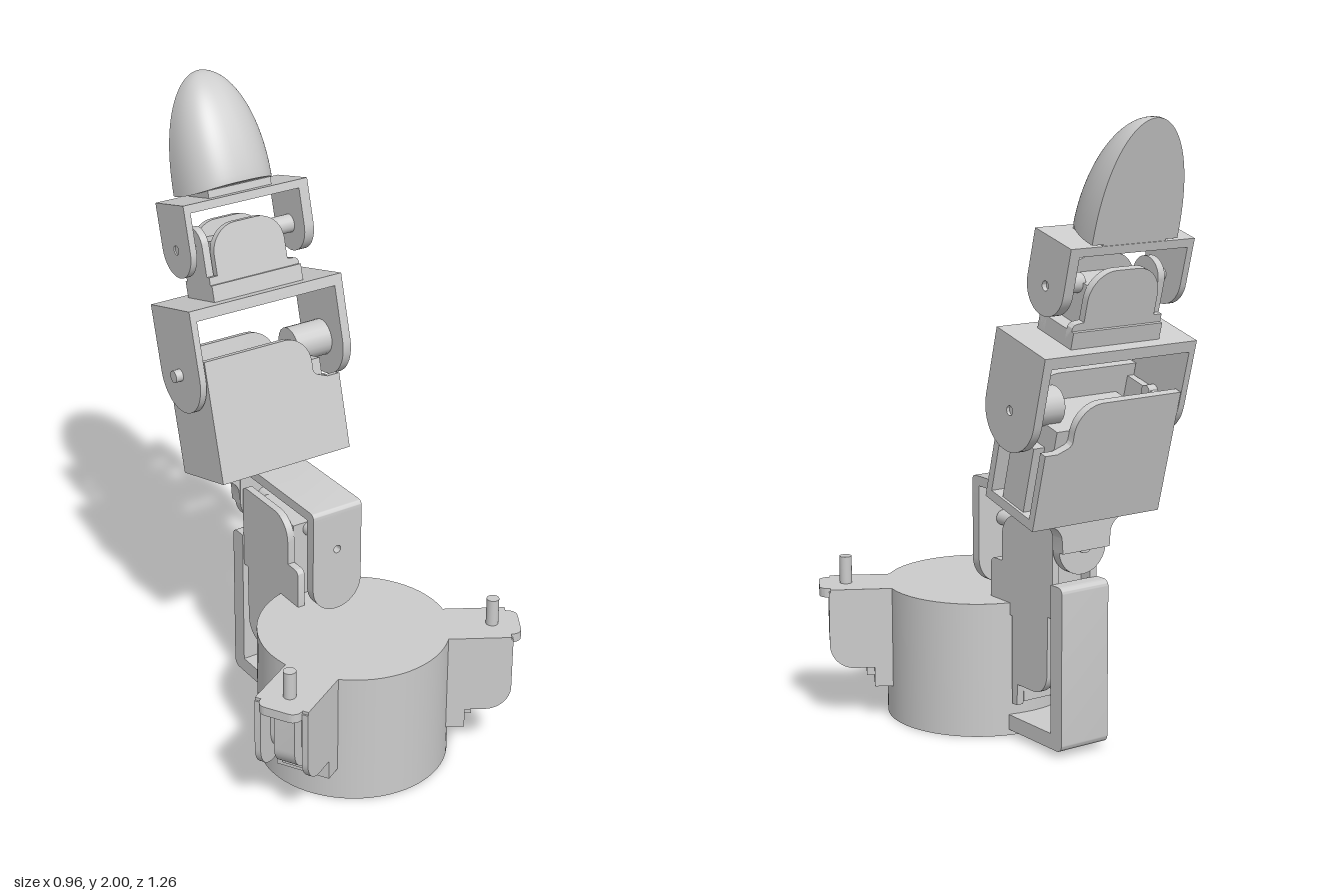
import * as THREE from 'three';
import { toCreasedNormals } from 'three/addons/utils/BufferGeometryUtils.js';
import { ParametricGeometry } from 'three/addons/geometries/ParametricGeometry.js';

const grey = new THREE.MeshStandardMaterial({ color: 0xcccccc, side: THREE.DoubleSide });

function add(parent, name, geometry) {
  const mesh = new THREE.Mesh(geometry, grey);
  mesh.name = name;
  parent.add(mesh);
  return mesh;
}

// Box given by its limits
function box(parent, name, x0, x1, y0, y1, z0, z1) {
  const g = new THREE.BoxGeometry(x1 - x0, y1 - y0, z1 - z0);
  return add(parent, name, g.translate((x0 + x1) / 2, (y0 + y1) / 2, (z0 + z1) / 2));
}

// Outline from [x, y, cornerRadius] points, with optional round holes [x, y, radius]
function outline(points, holes = []) {
  const s = new THREE.Shape();
  const n = points.length;
  points.forEach(([x, y, r = 0], i) => {
    const p = new THREE.Vector2(x, y);
    const toward = (q, d) => new THREE.Vector2(q[0], q[1]).sub(p).setLength(d).add(p);
    const before = points[(i + n - 1) % n], after = points[(i + 1) % n];
    const a = r ? toward(before, r) : p;
    if (i) s.lineTo(a.x, a.y); else s.moveTo(a.x, a.y);
    if (!r) return;
    const b = toward(after, r), c = toward(before, r * 0.45), d = toward(after, r * 0.45);
    s.bezierCurveTo(c.x, c.y, d.x, d.y, b.x, b.y);
  });
  s.closePath();
  for (const [x, y, r] of holes) s.holes.push(new THREE.Path().absarc(x, y, r, 0, Math.PI * 2, true));
  return s;
}

const extrude = (shape, depth) =>
  toCreasedNormals(new THREE.ExtrudeGeometry(shape, { depth, bevelEnabled: false, curveSegments: 12 }), 0.6);

// Plate with an (x, y) outline between z0 and z1
const frontPlate = (parent, name, pts, z0, z1, holes) =>
  add(parent, name, extrude(outline(pts, holes), z1 - z0).translate(0, 0, z0));

// Plate with a (z, y) outline between x0 and x1
function sidePlate(parent, name, pts, x0, x1, holes = []) {
  const shape = outline(pts.map(([z, y, r]) => [-z, y, r]), holes.map(([z, y, r]) => [-z, y, r]));
  return add(parent, name, extrude(shape, x1 - x0).rotateY(Math.PI / 2).translate(x0, 0, 0));
}

// Pin along x or z
function pin(parent, name, axis, from, to, y, other, r) {
  const g = new THREE.CylinderGeometry(r, r, to - from, 20);
  const mid = (from + to) / 2;
  if (axis === 'x') g.rotateZ(Math.PI / 2).translate(mid, y, other);
  else g.rotateX(Math.PI / 2).translate(other, y, mid);
  return add(parent, name, g);
}

// U-shaped hinge bracket hanging over an axis at height y
function hingeBracket(parent, name, x0, x1, axisY, topY, half, thick, left, right) {
  const g = new THREE.Group();
  g.name = name;
  parent.add(g);
  box(g, 'bracketTop', x0, x1, topY - thick, topY, -half, half);
  const arm = [[-half, axisY - half, half * 0.99], [half, axisY - half, half * 0.99], [half, topY], [-half, topY]];
  sidePlate(g, 'rightArm', arm, x0, x0 + left, [[0, axisY, 0.015]]);
  sidePlate(g, 'leftArm', arm, x1 - right, x1, [[0, axisY, 0.015]]);
}

// Mounting ear, built along +x from the drum axis
function mountingEar(angle) {
  const ear = new THREE.Group();
  ear.name = 'mountingEar';
  const profile = (end, low) => [[0.2, low], [end, low, 0.08], [end, 0.43], [0.2, 0.43]];
  for (const z of [-0.09, 0.07]) frontPlate(ear, 'earCheek', profile(0.495, 0.175), z, z + 0.02);
  frontPlate(ear, 'earCore', profile(0.43, 0.2), -0.07, 0.07);
  frontPlate(ear, 'earStrip', profile(0.475, 0.185), -0.035, 0.035);
  const lid = [[0.22, -0.09], [0.49, -0.09], [0.49, -0.07], [0.525, -0.07, 0.03],
    [0.525, 0.07, 0.03], [0.49, 0.07], [0.49, 0.09], [0.22, 0.09]];
  add(ear, 'earLid', extrude(outline(lid), 0.03).rotateX(Math.PI / 2).translate(0, 0.44, 0));
  box(ear, 'earFoot', 0.27, 0.35, 0.11, 0.18, -0.09, 0.09);
  box(ear, 'earToe', 0.35, 0.375, 0.14, 0.18, -0.06, 0.06);
  add(ear, 'earPin', new THREE.CylinderGeometry(0.02, 0.02, 0.12, 20).translate(0.438, 0.47, 0));
  ear.rotation.y = angle;
  ear.position.z = 0.305;
  return ear;
}

// Fingertip: D-shaped sections that shrink towards the tip
function fingertip(parent) {
  const g = new THREE.Group();
  g.name = 'fingertip';
  parent.add(g);
  const back = -0.09, base = 0.892, top = 1.266;
  const point = (angle, t, fill, target) => {
    const halfWidth = 0.157 * Math.sqrt(Math.max(0, 1 - t ** 2.3));
    const depth = 0.188 * Math.sqrt(Math.max(0, 1 - t ** 1.5)) * fill;
    const c = Math.cos(angle), s = Math.sin(angle);
    const forward = Math.max(0, s) ** 0.75;
    const y = base + (top - base) * t + 0.03 * (forward * fill) ** 2 * (1 - t);
    target.set(0.025 + halfWidth * Math.sign(c) * Math.abs(c) ** 0.75, y, back + depth * forward);
  };
  const rise = v => 1 - (1 - v) ** 2;
  add(g, 'fingertipPad', new ParametricGeometry((u, v, p) => point(u * Math.PI, rise(v), 1, p), 40, 32));
  add(g, 'fingertipBack', new ParametricGeometry((u, v, p) => point(u * Math.PI, rise(v), 0, p), 24, 32));
  add(g, 'fingertipBase', new ParametricGeometry((u, v, p) => point(u * Math.PI, 0, v, p), 40, 6));
  box(g, 'fingertipMount', -0.09, 0.14, 0.87, 0.91, -0.088, 0.06);
}

export function createModel() {
  const model = new THREE.Group();

  // Base drum with two ears
  add(model, 'baseDrum', new THREE.CylinderGeometry(0.305, 0.305, 0.44, 64).translate(0, 0.22, 0.305));
  model.add(mountingEar(-Math.PI / 6), mountingEar(-Math.PI * 5 / 6));

  // Lower actuator behind the drum
  const lower = new THREE.Group();
  lower.name = 'lowerActuator';
  model.add(lower);
  const housing = [[0, 0.11], [-0.025, 0.11], [-0.03, 0.18], [-0.185, 0.18, 0.07], [-0.19, 0.44], [-0.215, 0.44],
    [-0.215, 0.73, 0.02], [0.055, 0.73, 0.08], [0.055, 0.57], [0.115, 0.57, 0.02], [0.115, 0.4], [0, 0.4]];
  for (const x of [-0.085, 0.06]) sidePlate(lower, 'housingCheek', housing, x, x + 0.025);
  box(lower, 'actuatorCore', -0.06, 0.06, 0.2, 0.7, -0.17, 0.05);
  box(lower, 'actuatorFoot', -0.06, 0.06, 0.12, 0.2, -0.03, 0.01);
  sidePlate(lower, 'rearSupport', [[0.01, 0.02], [-0.27, 0.02, 0.025], [-0.27, 0.55, 0.02],
    [-0.212, 0.55], [-0.212, 0.07], [0.01, 0.07]], -0.09, 0.09);
  pin(lower, 'shaft', 'z', -0.27, 0.17, 0.675, 0, 0.025);

  // Lower swing bracket
  const swing = new THREE.Group();
  swing.name = 'swingBracket';
  model.add(swing);
  const tongue = low => [[-0.09, low, 0.089], [0.09, low, 0.089], [0.09, 0.8], [-0.09, 0.8]];
  frontPlate(swing, 'frontTongue', tongue(0.46), 0.175, 0.21, [[0, 0.675, 0.013]]);
  frontPlate(swing, 'rearTongue', tongue(0.58), -0.255, -0.222);
  sidePlate(swing, 'bridge', [[-0.255, 0.79], [0.21, 0.79], [0.21, 0.822, 0.015], [-0.255, 0.822]], -0.09, 0.09);
  const flare = frontPlate(swing, 'flaredNeck', [[-0.09, 0.66], [0.09, 0.66], [0.095, 0.735, 0.03],
    [0.165, 0.765, 0.02], [0.165, 0.8], [-0.165, 0.8], [-0.165, 0.765, 0.02], [-0.095, 0.735, 0.03]], -0.025, 0.025);
  flare.position.z = -0.25;

  // Everything above leans back together
  const finger = new THREE.Group();
  finger.name = 'leaningFinger';
  finger.position.set(0, 0.8, -0.215);
  finger.rotation.x = -Math.PI / 12;
  model.add(finger);

  // Middle actuator
  const middle = new THREE.Group();
  middle.name = 'middleActuator';
  finger.add(middle);
  const shell = [[-0.23, 0], [0.25, 0], [0.25, 0.25], [0.205, 0.25], [0.155, 0.27, 0.015],
    [0.155, 0.4, 0.09], [-0.23, 0.4]];
  frontPlate(middle, 'frontShell', shell, 0.1, 0.126);
  frontPlate(middle, 'rearShell', shell, -0.126, -0.1);
  box(middle, 'shellFloor', -0.23, 0.25, 0, 0.03, -0.126, 0.126);
  box(middle, 'shellWall', -0.23, -0.205, 0, 0.36, -0.11, 0.11);
  box(middle, 'actuatorCore', -0.17, 0.2, 0.03, 0.31, -0.1, 0.1);
  box(middle, 'sideRib', 0.2, 0.24, 0.03, 0.24, -0.055, 0.055);
  pin(middle, 'hingePin', 'x', -0.28, -0.2, 0.35, 0, 0.02);
  pin(middle, 'outputHorn', 'x', 0.15, 0.3, 0.35, 0, 0.06);
  hingeBracket(finger, 'middleBracket', -0.255, 0.31, 0.35, 0.567, 0.125, 0.036, 0.022, 0.03);

  // Upper actuator
  const upper = new THREE.Group();
  upper.name = 'upperActuator';
  finger.add(upper);
  const cap = [[-0.14, 0.567], [0.19, 0.567], [0.19, 0.64, 0.015], [0.15, 0.645], [0.15, 0.8, 0.09],
    [-0.11, 0.8, 0.09], [-0.11, 0.645], [-0.14, 0.645]];
  frontPlate(upper, 'frontShell', cap, 0.05, 0.075);
  frontPlate(upper, 'rearShell', cap, -0.075, -0.05);
  box(upper, 'shellFloor', -0.14, 0.19, 0.567, 0.62, -0.085, 0.085);
  box(upper, 'actuatorCore', -0.1, 0.14, 0.6, 0.75, -0.05, 0.05);
  sidePlate(upper, 'hingePost', [[-0.06, 0.567], [0.06, 0.567], [0.06, 0.8, 0.059], [-0.06, 0.8, 0.059]], -0.14, -0.115);
  pin(upper, 'hingePin', 'x', -0.195, -0.1, 0.74, 0, 0.02);
  pin(upper, 'outputHorn', 'x', 0.13, 0.24, 0.74, 0, 0.03);
  hingeBracket(finger, 'upperBracket', -0.2, 0.255, 0.74, 0.886, 0.09, 0.027, 0.022, 0.035);

  fingertip(finger);
  return model;
}
